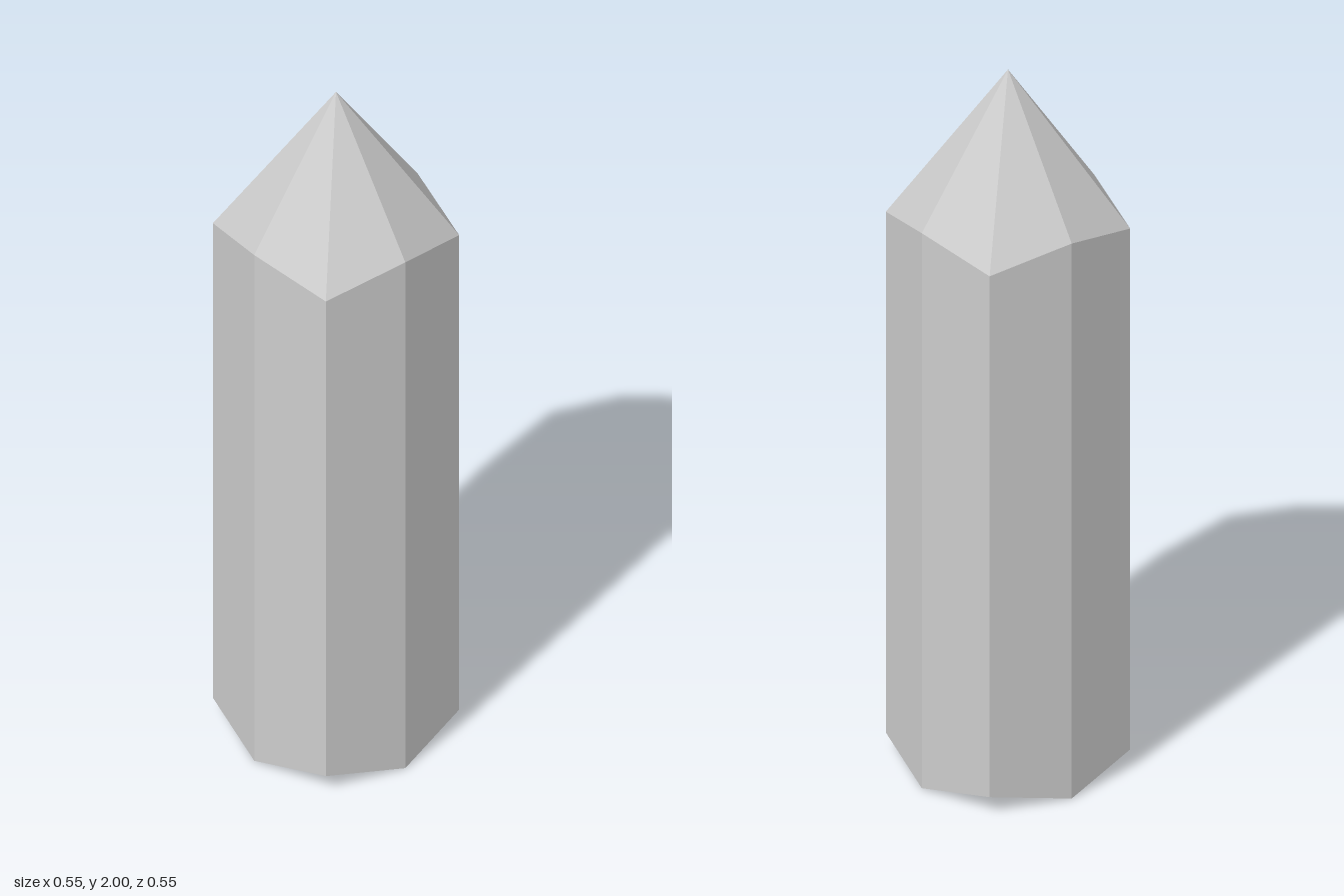
import * as THREE from 'three';

// Eight-sided ring: even points lie on the axes, odd points on the diagonals
function ring(axisY, cornerY) {
  return Array.from({ length: 8 }, (_, i) => {
    const a = (i * Math.PI) / 4;
    const corner = i % 2 === 1;
    const r = corner ? 0.225 * Math.SQRT2 : 0.276;
    return new THREE.Vector3(Math.sin(a) * r, corner ? cornerY : axisY, Math.cos(a) * r);
  });
}

// Flat-shaded mesh from a list of triangle corners
function facets(name, points, material) {
  const geometry = new THREE.BufferGeometry().setFromPoints(points);
  geometry.computeVertexNormals();
  const mesh = new THREE.Mesh(geometry, material);
  mesh.name = name;
  return mesh;
}

export function createModel() {
  const group = new THREE.Group();
  group.name = 'crystal';
  const material = new THREE.MeshStandardMaterial({ color: 0xcccccc });

  const low = ring(0, 0.052);
  const high = ring(1.61, 1.563);
  const apex = new THREE.Vector3(0, 2, 0);
  const walls = [], tip = [], base = [];
  const hub = 3; // back right corner, where the base facets meet

  for (let i = 0; i < 8; i++) {
    const j = (i + 1) % 8;
    walls.push(low[i], low[j], high[j], low[i], high[j], high[i]);
    tip.push(high[i], high[j], apex);
    if (i !== hub && j !== hub) base.push(low[hub], low[j], low[i]);
  }

  group.add(facets('shaft', walls, material), facets('tip', tip, material));

  // The base is shaded as one face looking straight down
  const bottom = facets('base', base, material);
  const normals = bottom.geometry.attributes.normal;
  for (let i = 0; i < normals.count; i++) normals.setXYZ(i, 0, -1, 0);
  group.add(bottom);

  return group;
}
